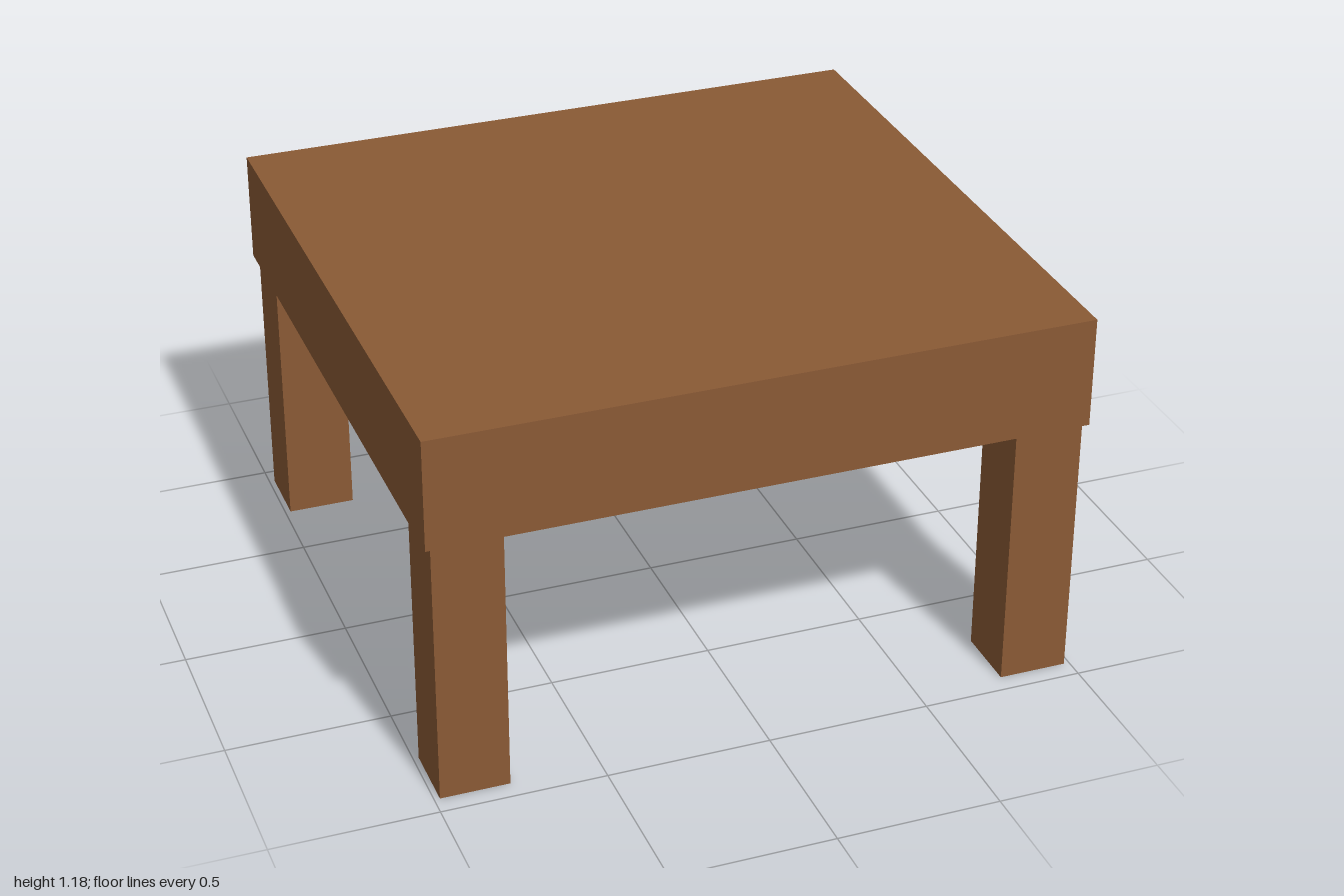
import * as THREE from 'three';

export function createModel() {
  const table = new THREE.Group();
  table.name = 'table';
  const wood = new THREE.MeshStandardMaterial({ color: 0x8a5a35 });
  wood.name = 'brown wood';

  const legHeight = 0.833, topThickness = 0.343, legSize = 0.21;

  // Thick slab top
  const top = new THREE.Mesh(new THREE.BoxGeometry(2, topThickness, 1.9), wood);
  top.name = 'tableTop';
  top.position.y = legHeight + topThickness / 2;
  table.add(top);

  // Four square legs, set in slightly from the edges
  const legGeometry = new THREE.BoxGeometry(legSize, legHeight, legSize);
  for (const [sideName, sx] of [['Left', 1], ['Right', -1]]) {
    for (const [endName, sz] of [['front', 1], ['back', -1]]) {
      const leg = new THREE.Mesh(legGeometry, wood);
      leg.name = `${endName}${sideName}Leg`;
      leg.position.set(sx * 0.878, legHeight / 2, sz * 0.834);
      table.add(leg);
    }
  }
  return table;
}
